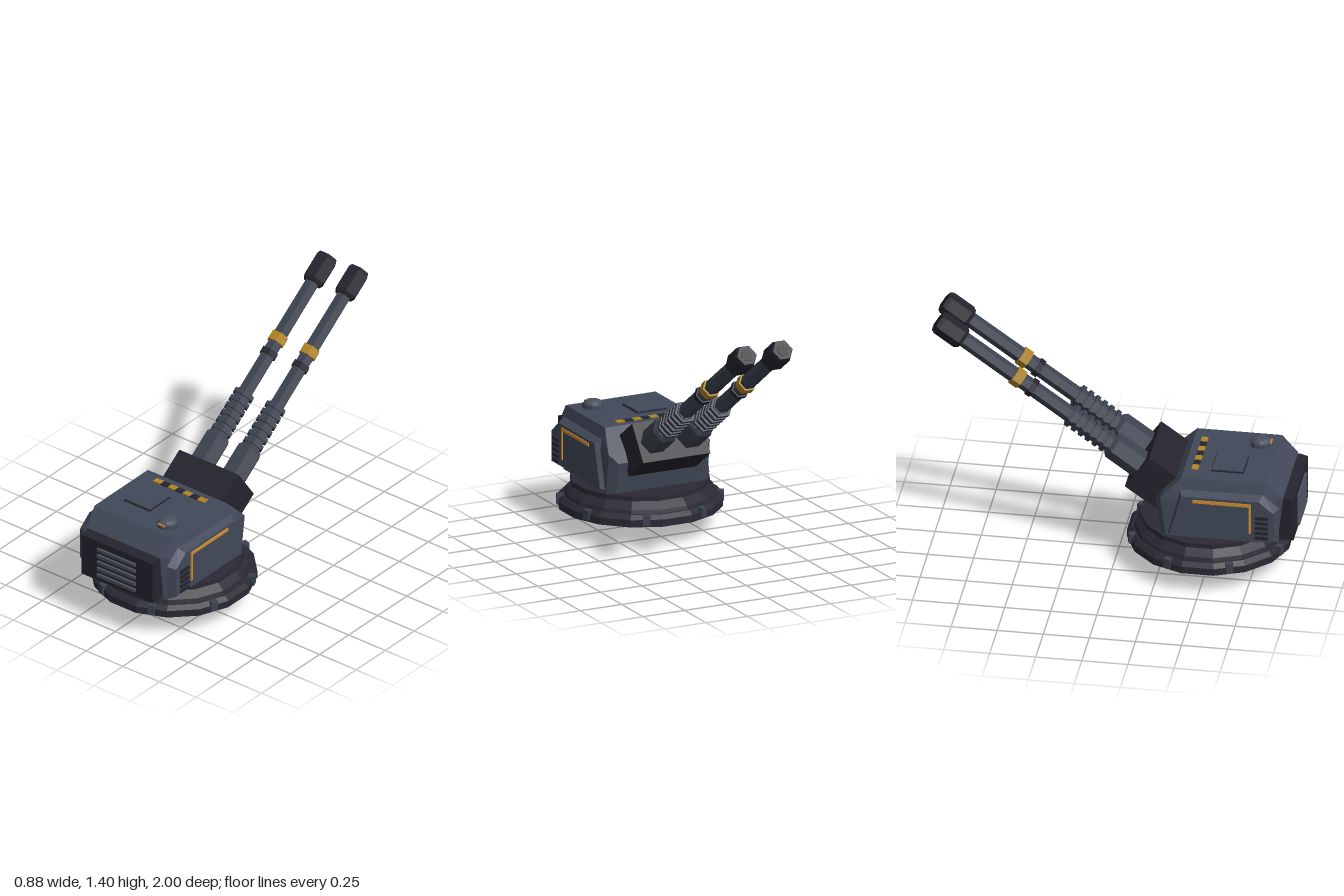
import * as THREE from 'three';
import { ConvexGeometry } from 'three/addons/geometries/ConvexGeometry.js';

const mat = (name, color) => {
  const m = new THREE.MeshStandardMaterial({ color, flatShading: true });
  m.name = name;
  return m;
};

export function createModel() {
  const steel = mat('blue grey armour', 0x414858);
  const barrelGrey = mat('barrel grey', 0x3c4250);
  const dark = mat('dark metal', 0x25242e);
  const ringDark = mat('turntable metal', 0x2b2934);
  const slatGrey = mat('slat grey', 0x4a505e);
  const gold = mat('gold paint', 0xb08426);
  const orange = mat('orange paint', 0xd08e30);
  const black = mat('black', 0x131318);

  const model = new THREE.Group();
  const add = (parent, name, geo, material, x = 0, y = 0, z = 0) => {
    const mesh = new THREE.Mesh(geo, material);
    mesh.name = name;
    mesh.position.set(x, y, z);
    parent.add(mesh);
    return mesh;
  };
  const box = (w, h, d) => new THREE.BoxGeometry(w, h, d);
  const hull = (pts) => new ConvexGeometry(pts.map((p) => new THREE.Vector3(...p)));
  const mirror = (pts) => pts.flatMap(([x, y, z]) => [[x, y, z], [-x, y, z]]);

  // Turntable: stacked rings [bottom radius, top radius, bottom y, top y]
  const CZ = 0.495;
  const base = new THREE.Group();
  base.name = 'turntable';
  base.position.z = CZ;
  model.add(base);
  [
    [0.448, 0.448, 0.125, 0.165], [0.448, 0.425, 0.165, 0.188],
    [0.412, 0.405, 0.188, 0.208], [0.405, 0.362, 0.208, 0.25],
    [0.378, 0.378, 0.25, 0.276],
  ].forEach(([r0, r1, y0, y1]) => {
    const g = new THREE.CylinderGeometry(r1, r0, y1 - y0, 16).rotateY(Math.PI / 16);
    add(base, 'turntableRing', g, ringDark, 0, (y0 + y1) / 2, 0);
  });
  for (let i = 0; i < 8; i++) {
    const a = (i + 0.5) * Math.PI / 4;
    const bolt = add(base, 'ringClamp', box(0.04, 0.055, 0.035), barrelGrey,
      Math.sin(a) * 0.433, 0.162, Math.cos(a) * 0.433);
    bolt.rotation.y = a;
  }

  // Round coupling hanging under the turntable
  const coupling = new THREE.Group();
  coupling.name = 'underCoupling';
  coupling.position.set(0, 0.118, 0.508);
  model.add(coupling);
  add(coupling, 'couplingRim', new THREE.TorusGeometry(0.096, 0.017, 6, 20), steel);
  add(coupling, 'couplingDisc', new THREE.CylinderGeometry(0.09, 0.09, 0.03, 20).rotateX(Math.PI / 2), dark);
  add(coupling, 'couplingHub', new THREE.CylinderGeometry(0.035, 0.035, 0.105, 8).rotateX(Math.PI / 2), dark);
  add(coupling, 'couplingLamp', box(0.03, 0.016, 0.108), gold, 0, -0.008, 0);
  for (const a of [-0.85, 0.85]) {
    const spoke = add(coupling, 'couplingSpoke', box(0.02, 0.06, 0.05), steel,
      Math.sin(a) * 0.065, -Math.cos(a) * 0.065, 0);
    const knob = add(coupling, 'couplingKnob', box(0.05, 0.026, 0.075), steel,
      Math.sin(a) * 0.115, -Math.cos(a) * 0.115, 0);
    spoke.rotation.z = knob.rotation.z = a;
    add(coupling, 'couplingMark', box(0.014, 0.01, 0.036), gold, Math.sign(a) * 0.05, -0.035, 0);
  }

  // Armoured housing with chamfered corners
  add(model, 'housing', hull(mirror([
    [0.305, 0.275, 0.30], [0.305, 0.275, 0.80], [0.25, 0.275, 0.90],
    [0.305, 0.50, 0.27], [0.305, 0.50, 0.82], [0.25, 0.53, 0.93],
    [0.26, 0.45, 0.24], [0.26, 0.275, 0.27],
    [0.295, 0.545, 0.32], [0.27, 0.617, 0.38], [0.27, 0.617, 0.84],
  ])), steel);

  // Front vent block and its slats
  add(model, 'ventBlock', hull(mirror([
    [0.243, 0.27, 0.88], [0.243, 0.528, 0.88],
    [0.243, 0.27, 0.985], [0.243, 0.515, 0.985], [0.243, 0.528, 0.94],
  ])), dark);
  for (let i = 0; i < 5; i++)
    add(model, 'ventSlat', box(0.26, 0.017, 0.02), slatGrey, 0, 0.31 + i * 0.04, 0.99);

  // Side armour with slats and an angled stripe
  const outline = [[0.89, 0.30], [0.89, 0.47], [0.81, 0.535], [0.39, 0.535], [0.325, 0.30]];
  for (const s of [-1, 1]) {
    const side = new THREE.Group();
    side.name = s > 0 ? 'leftArmour' : 'rightArmour';
    model.add(side);
    const pts = outline.flatMap(([z, y]) => [
      [s * 0.33, y, z],
      [s * 0.285, 0.41 + (y - 0.41) * 1.2, 0.6 + (z - 0.6) * 1.08],
    ]);
    add(side, 'armourPlate', hull(pts), steel);
    add(side, 'stripeAlong', box(0.008, 0.018, 0.317), orange, s * 0.332, 0.511, 0.609);
    add(side, 'stripeDown', box(0.008, 0.165, 0.012), orange, s * 0.332, 0.424, 0.761);
    for (let i = 0; i < 5; i++)
      add(side, 'sideSlat', box(0.02, 0.015, 0.07), dark, s * 0.332, 0.32 + i * 0.03, 0.825);
  }

  // Roof: hazard strip, hatch and sensor dome
  for (let i = 0; i < 7; i++)
    add(model, 'hazardStrip', box(0.05, 0.008, 0.036), i % 2 ? dark : gold, (i - 3) * 0.05, 0.619, 0.438);
  add(model, 'hatchRim', box(0.178, 0.008, 0.178), dark, -0.088, 0.619, 0.615);
  add(model, 'hatch', box(0.168, 0.014, 0.168), steel, -0.088, 0.622, 0.615);
  add(model, 'domeCollar', new THREE.CylinderGeometry(0.058, 0.06, 0.022, 12), steel, 0.155, 0.627, 0.745);
  const dome = add(model, 'dome',
    new THREE.SphereGeometry(0.055, 12, 4, 0, Math.PI * 2, 0, Math.PI / 2), slatGrey, 0.155, 0.636, 0.745);
  dome.scale.y = 0.5;
  add(model, 'domeLamp', box(0.045, 0.01, 0.008), orange, 0.155, 0.639, 0.8);

  // Elevated gun assembly: local +y runs along the barrels
  const guns = new THREE.Group();
  guns.name = 'gunAssembly';
  guns.position.set(0, 0.588, 0.129);
  guns.rotation.x = -THREE.MathUtils.degToRad(54.5);
  model.add(guns);
  add(guns, 'mantlet', box(0.405, 0.21, 0.227), dark, 0, -0.105, 0);

  // Hexagonal section from t0 to t1 along a barrel
  const hex = (parent, name, r0, r1, t0, t1, material) =>
    add(parent, name, new THREE.CylinderGeometry(r1, r0, t1 - t0, 6).rotateY(Math.PI / 6),
      material, 0, (t0 + t1) / 2, 0);
  for (const s of [-1, 1]) {
    const gun = new THREE.Group();
    gun.name = s > 0 ? 'leftGun' : 'rightGun';
    gun.position.x = s * 0.108;
    guns.add(gun);
    hex(gun, 'breech', 0.0765, 0.0765, -0.03, 0.175, barrelGrey);
    hex(gun, 'breechCollar', 0.0765, 0.06, 0.175, 0.195, barrelGrey);
    hex(gun, 'recoilSleeve', 0.052, 0.05, 0.19, 0.47, barrelGrey);
    for (let i = 0; i < 6; i++) {
      const t = 0.208 + i * 0.046;
      hex(gun, 'recoilRing', 0.065, 0.065, t, t + 0.024, barrelGrey);
    }
    hex(gun, 'barrel', 0.044, 0.042, 0.46, 1.19, barrelGrey);
    hex(gun, 'barrelClamp', 0.052, 0.052, 0.703, 0.735, dark);
    hex(gun, 'barrelBand', 0.053, 0.053, 0.787, 0.84, gold);
    // Muzzle with chamfered ends and a dark bore
    hex(gun, 'muzzleRear', 0.055, 0.067, 1.175, 1.195, dark);
    hex(gun, 'muzzle', 0.067, 0.067, 1.195, 1.325, dark);
    hex(gun, 'muzzleTip', 0.067, 0.058, 1.325, 1.345, dark);
    hex(gun, 'bore', 0.034, 0.034, 1.341, 1.348, black);
  }
  return model;
}
